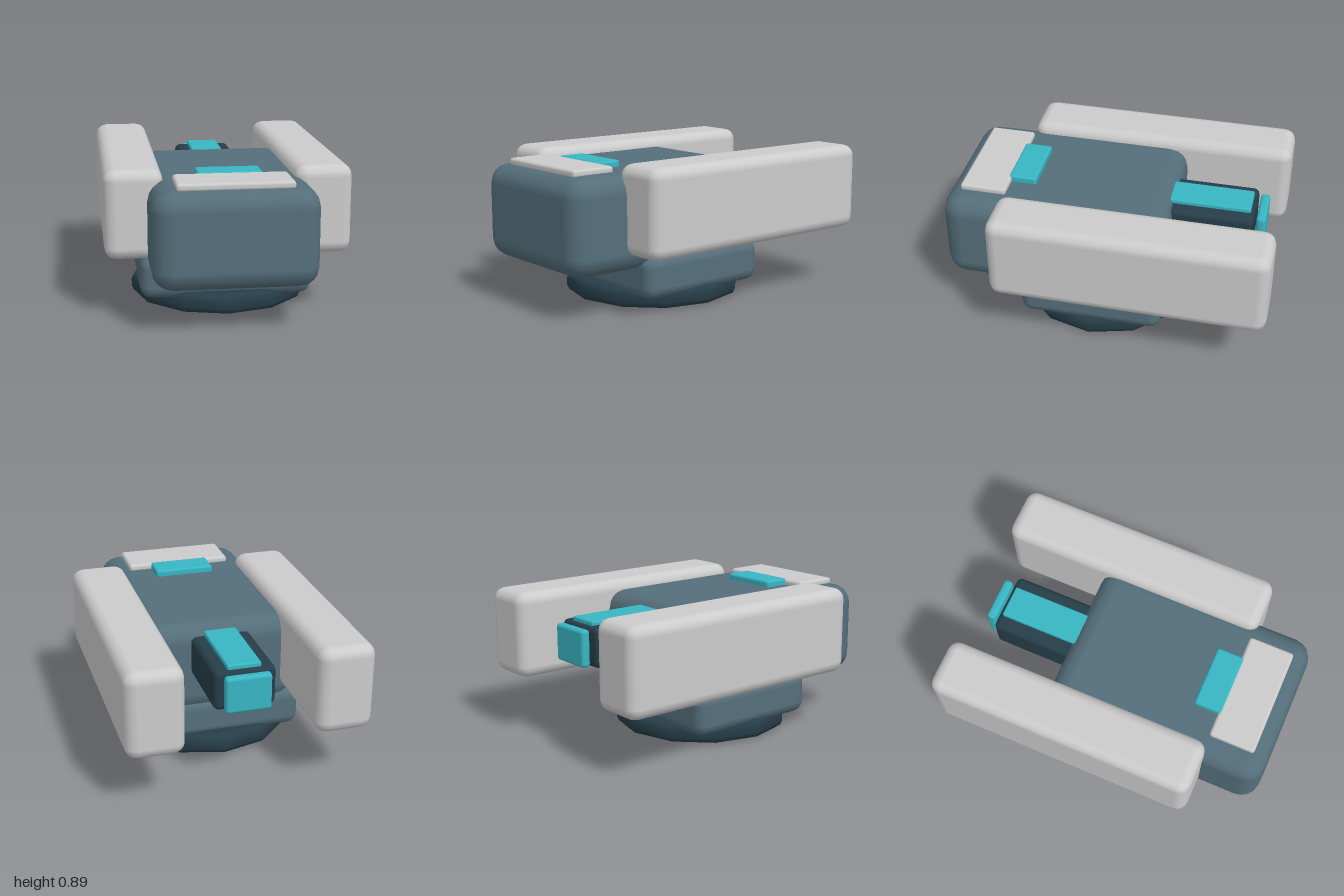
import * as THREE from 'three';
import { RoundedBoxGeometry } from 'three/addons/geometries/RoundedBoxGeometry.js';

const material = (color) => new THREE.MeshStandardMaterial({ color });

export function createModel() {
  const model = new THREE.Group();
  model.name = 'turret';

  const slate = material(0x546e7a);
  const dark = material(0x263d48);
  const pale = material(0xcccccc);
  const cyan = material(0x38b6c4);

  // Rounded box given by its extents along each axis
  function block(name, mat, [x0, x1], [y0, y1], [z0, z1], radius) {
    const geometry = new RoundedBoxGeometry(x1 - x0, y1 - y0, z1 - z0, 2, radius);
    const mesh = new THREE.Mesh(geometry, mat);
    mesh.name = name;
    mesh.position.set((x0 + x1) / 2, (y0 + y1) / 2, (z0 + z1) / 2);
    model.add(mesh);
    return mesh;
  }

  // Twelve-sided turntable with bevelled rims
  const profile = [
    [0, 0], [0.48, 0], [0.5, 0.002], [0.528, 0.013], [0.54, 0.04],
    [0.54, 0.085], [0.528, 0.112], [0.5, 0.123], [0.48, 0.125], [0, 0.125],
  ].map(([r, y]) => new THREE.Vector2(r, y));
  const turntable = new THREE.Mesh(new THREE.LatheGeometry(profile, 12), dark);
  turntable.name = 'turntable';
  turntable.position.z = 0.08;
  model.add(turntable);

  // Body
  block('pedestal', slate, [-0.51, 0.51], [0.08, 0.335], [-0.355, 0.52], 0.07);
  block('hull', slate, [-0.472, 0.472], [0.26, 0.828], [-0.36, 1], 0.12);

  // Long side pods
  for (const side of [-1, 1]) {
    const xs = [side * 0.377, side * 0.717].sort((a, b) => a - b);
    block(side > 0 ? 'leftPod' : 'rightPod', pale, xs, [0.362, 0.887], [-1, 0.645], 0.07);
  }

  // Panels on top of the hull
  block('roofPlate', pale, [-0.33, 0.33], [0.817, 0.863], [0.627, 0.905], 0.018);
  block('roofLight', cyan, [-0.187, 0.187], [0.815, 0.868], [0.475, 0.645], 0.015);

  // Rear boom with its light strip and end plate
  block('rearBoom', dark, [-0.182, 0.182], [0.52, 0.76], [-0.84, -0.3], 0.035);
  block('boomLight', cyan, [-0.1, 0.1], [0.735, 0.785], [-0.815, -0.315], 0.012);
  block('boomEndPlate', cyan, [-0.135, 0.135], [0.53, 0.75], [-0.91, -0.853], 0.02);

  return model;
}
